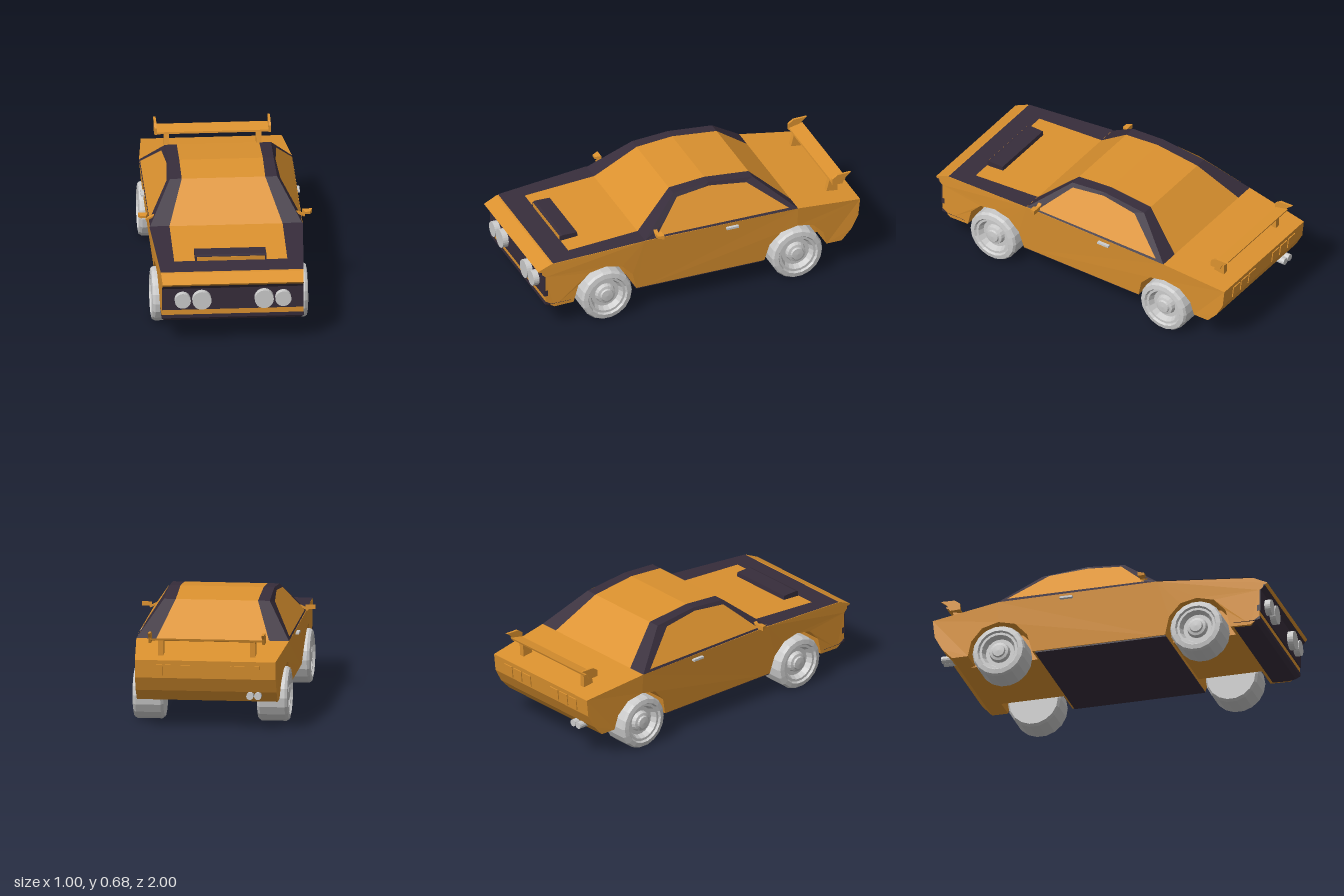
import * as THREE from 'three';

const mat = (color) => new THREE.MeshStandardMaterial({ color, flatShading: true, side: THREE.DoubleSide });
const orange = mat(0xdc922f), dark = mat(0x372d3b), grey = mat(0xcccccc);

// Half width of the body at a given length and height
function halfWidth(z, y) {
  const along = z > 0.35 ? (1 - z) / 0.65 : z < -0.6 ? (1 + z) / 0.4 : 1;
  const up = THREE.MathUtils.clamp((y - 0.14) / 0.29, 0, 1);
  return 0.405 + 0.035 * along * up;
}
const hoodY = (z) => 0.432 + (0.92 - z) * 0.068;

export function createModel() {
  const car = new THREE.Group();

  function add(name, geometry, material, x = 0, y = 0, z = 0) {
    const mesh = new THREE.Mesh(geometry, material);
    mesh.name = name;
    mesh.position.set(x, y, z);
    car.add(mesh);
    return mesh;
  }
  const box = (name, m, w, h, d, x, y, z) => add(name, new THREE.BoxGeometry(w, h, d), m, x, y, z);

  // Extrude a (z, y) side profile across x; width may be a number or a rule
  function slab(name, profile, material, width, x = 0) {
    const shape = new THREE.Shape(profile.map(([z, y]) => new THREE.Vector2(z, y)));
    const g = new THREE.ExtrudeGeometry(shape, { depth: 1, bevelEnabled: false });
    g.rotateY(-Math.PI / 2).translate(0.5, 0, 0);
    const p = g.attributes.position;
    for (let i = 0; i < p.count; i++) {
      const half = typeof width === 'number' ? width / 2 : width(p.getZ(i), p.getY(i));
      p.setX(i, p.getX(i) * 2 * half);
    }
    g.computeVertexNormals();
    return add(name, g, material, x);
  }

  // Flat convex panel
  function panel(name, pts, material) {
    const v = [];
    for (let i = 1; i < pts.length - 1; i++) v.push(...pts[0], ...pts[i], ...pts[i + 1]);
    const g = new THREE.BufferGeometry();
    g.setAttribute('position', new THREE.Float32BufferAttribute(v, 3));
    g.computeVertexNormals();
    return add(name, g, material);
  }

  // Body in three lengths, with faceted wheel arches
  const arch = [[0.195, 0.145], [0.168, 0.25], [0.1, 0.322], [0, 0.345], [-0.1, 0.322], [-0.168, 0.25], [-0.195, 0.145]];
  const archAt = (c) => arch.map(([z, y]) => [c + z, y]);
  slab('frontBody', [[0.35, 0.471], [0.92, 0.432], [1, 0.395], [0.993, 0.385], [0.955, 0.352], [0.955, 0.18],
    [0.9, 0.142], ...archAt(0.585), [0.35, 0.145]], orange, halfWidth);
  slab('middleBody', [[0.35, 0.471], [0.35, 0.145], ...archAt(-0.6).slice(0, 4), [-0.6, 0.466]], orange, halfWidth);
  slab('rearBody', [[-0.6, 0.466], ...archAt(-0.6).slice(3, 6), [-0.79, 0.165], [-0.885, 0.165], [-0.945, 0.23],
    [-0.988, 0.31], [-1, 0.415]], orange, halfWidth);
  box('underbody', orange, 0.52, 0.23, 1.62, 0, 0.275, 0);
  box('floor', dark, 0.8, 0.018, 0.78, 0, 0.146, 0);

  // Nose: grille, chin lip and round lamps
  slab('grille', [[0.994, 0.387], [0.962, 0.354], [0.962, 0.222], [0.94, 0.222], [0.94, 0.387]], dark, 0.812);
  slab('chinLip', [[0.958, 0.19], [0.957, 0.168], [0.935, 0.147], [0.9, 0.134], [0.8, 0.14], [0.8, 0.165], [0.92, 0.165]],
    dark, (z, y) => 0.408 - Math.max(0, 0.165 - y) * 0.9);
  for (const s of [-1, 1]) {
    for (const [x, r] of [[0.289, 0.046], [0.179, 0.055]]) {
      add('headlight', new THREE.CylinderGeometry(r, r, 0.05, 24).rotateX(Math.PI / 2), grey, s * x, 0.29, 0.972);
    }
  }

  // Dark hood border and scoop
  const hp = (x, z) => [x, hoodY(z) + 0.003, z];
  const edge = (z) => halfWidth(z, 0.43) + 0.001;
  panel('hoodFrontBand', [hp(-edge(0.91), 0.91), hp(edge(0.91), 0.91), hp(edge(0.78), 0.78), hp(-edge(0.78), 0.78)], dark);
  for (const s of [-1, 1]) {
    panel('hoodSideBand', [hp(s * 0.325, 0.78), hp(s * edge(0.78), 0.78), hp(s * edge(0.35), 0.35), hp(s * 0.325, 0.35)], dark);
  }
  slab('hoodScoop', [[0.78, 0.44], [0.78, 0.47], [0.765, 0.476], [0.675, 0.474], [0.67, 0.44]], dark, 0.41);
  box('scoopOpening', orange, 0.39, 0.024, 0.004, 0, 0.456, 0.78);

  // Cabin: stations of [z, y, outer x, inner x] from windshield base to rear window base
  const roof = [[0.35, 0.472, 0.437, 0.325], [0.12, 0.665, 0.308, 0.24], [-0.1, 0.684, 0.302, 0.24],
    [-0.375, 0.656, 0.305, 0.237], [-0.6, 0.466, 0.44, 0.325]];
  const topNames = ['windshield', 'frontRoof', 'rearRoof', 'rearWindow'];
  for (let i = 0; i < 4; i++) {
    const [za, ya, oa, ia] = roof[i], [zb, yb, ob, ib] = roof[i + 1];
    panel(topNames[i], [[-ia, ya, za], [ia, ya, za], [ib, yb, zb], [-ib, yb, zb]], orange);
    for (const s of [-1, 1]) {
      panel('pillar', [[s * ia, ya, za], [s * oa, ya, za], [s * ob, yb, zb], [s * ib, yb, zb]], dark);
    }
  }
  const windowOutline = [[0.275, 0.484], [0.105, 0.648], [-0.1, 0.668], [-0.325, 0.645], [-0.545, 0.482]];
  for (const s of [-1, 1]) {
    panel('cabinSide', roof.map(([z, y, o]) => [s * o, y, z]), dark);
    panel('sideWindow', windowOutline.map(([z, y]) => [s * (0.446 - (y - 0.468) * 0.66), y, z]), orange);
  }

  // Wheels with stepped rims, turned around their axle
  const rim = [[0, 0], [0.145, 0], [0.157, 0.016], [0.157, 0.16], [0.148, 0.175], [0.122, 0.18], [0.114, 0.168],
    [0.1, 0.168], [0.085, 0.135], [0.062, 0.135], [0.055, 0.158], [0.04, 0.162], [0.035, 0.172], [0, 0.175]];
  for (const s of [-1, 1]) {
    for (const z of [0.585, -0.597]) {
      const g = new THREE.LatheGeometry(rim.map(([r, h]) => new THREE.Vector2(r, h)), 18);
      const wheel = add('wheel', g, grey, s * 0.27, 0.16, z);
      wheel.rotation.z = -s * Math.PI / 2;
    }
  }

  // Door handles and wing mirrors
  for (const s of [-1, 1]) {
    box('doorHandle', grey, 0.025, 0.012, 0.075, s * 0.444, 0.44, -0.19);
    const arm = box('mirrorArm', orange, 0.055, 0.01, 0.022, s * 0.432, 0.498, 0.275);
    arm.rotation.z = -s * 0.45;
    const head = add('mirrorHead', new THREE.CylinderGeometry(0.016, 0.03, 0.035, 4, 1, false, Math.PI / 4)
      .rotateX(Math.PI / 2), orange, s * 0.472, 0.506, 0.272);
    head.scale.set(1.35, 0.6, 1);
  }

  // Rear wing: blade, end plates and struts
  slab('wingBlade', [[-0.86, 0.503], [-0.862, 0.514], [-0.944, 0.532], [-0.94, 0.52]], orange, 0.65);
  for (const s of [-1, 1]) {
    slab('wingEndPlate', [[-0.856, 0.502], [-0.858, 0.54], [-0.89, 0.562], [-0.972, 0.564], [-0.935, 0.535], [-0.918, 0.5]],
      orange, 0.014, s * 0.328);
    slab('wingStrut', [[-0.842, 0.43], [-0.862, 0.51], [-0.915, 0.52], [-0.91, 0.42]], orange, 0.03, s * 0.265);
  }

  // Tail: lamp plates and twin exhaust
  for (const s of [-1, 1]) {
    for (const x of [0.12, 0.2, 0.28]) {
      const lamp = box('tailLamp', orange, 0.065, 0.07, 0.012, s * x, 0.355, -0.993);
      lamp.rotation.x = -0.11;
    }
  }
  for (const x of [-0.3, -0.255]) {
    add('exhaustPipe', new THREE.CylinderGeometry(0.021, 0.021, 0.1, 12).rotateX(Math.PI / 2), grey, x, 0.21, -0.925);
  }

  return car;
}
